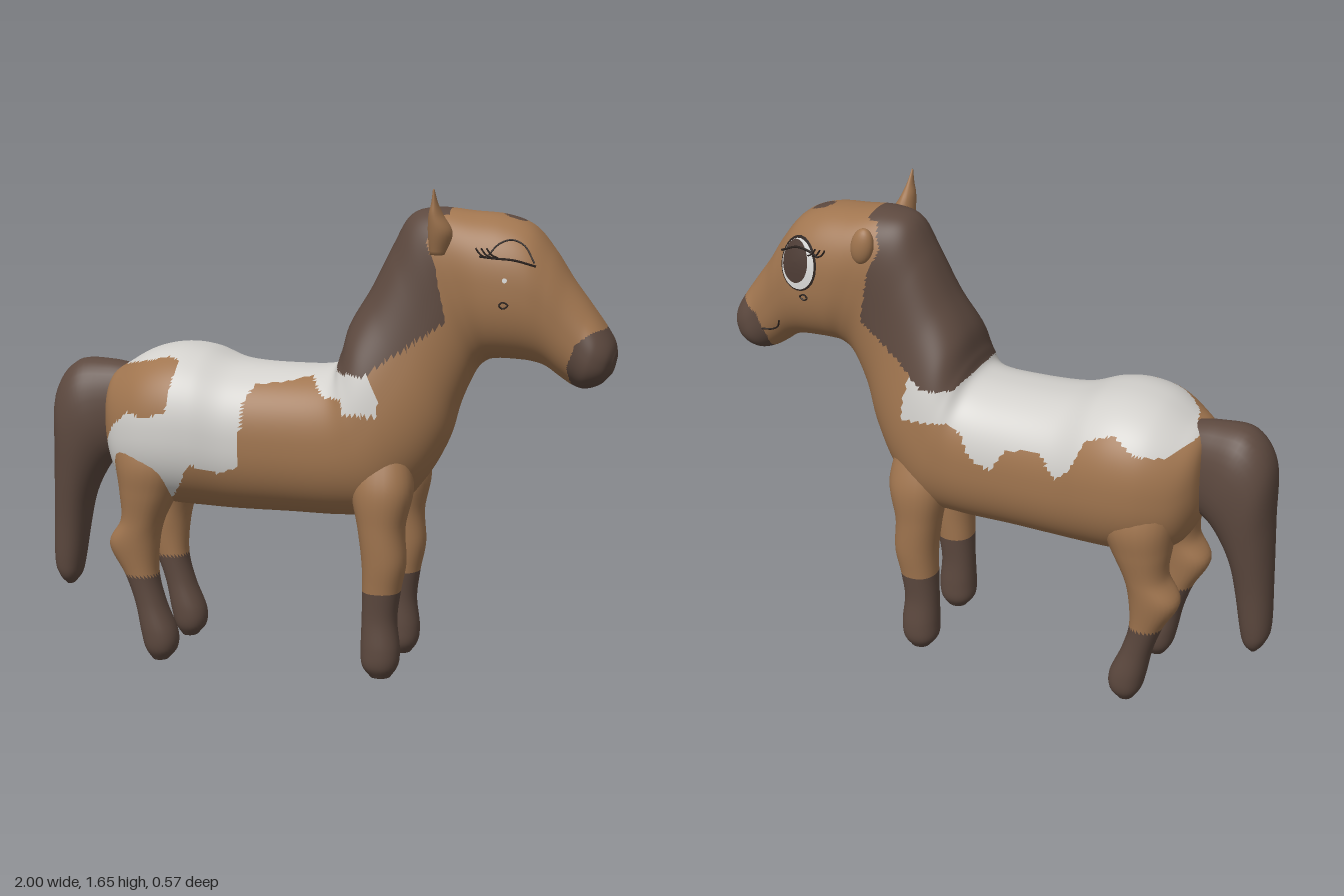
import * as THREE from 'three';

const mat = (name, color, side = THREE.FrontSide) => {
  const m = new THREE.MeshStandardMaterial({ color, side });
  m.name = name;
  return m;
};

// Even-odd test of a point against a closed outline
function inside(poly, x, y) {
  let hit = false;
  for (let i = 0, j = poly.length - 1; i < poly.length; j = i++) {
    const [xi, yi] = poly[i], [xj, yj] = poly[j];
    if ((yi > y) !== (yj > y) && x < ((xj - xi) * (y - yi)) / (yj - yi) + xi) hit = !hit;
  }
  return hit;
}

// Skin over rings [ax, ay, bx, by, halfWidth, zCentre]: a and b are opposite edge points.
// pick(x, y, z) gives the material slot of each triangle.
function loft(rings, steps, sides, power, pick) {
  const curve = f => new THREE.CatmullRomCurve3(rings.map(f), false, 'catmullrom', 0.5);
  const A = curve(r => new THREE.Vector3(r[0], r[1], r[5] || 0));
  const B = curve(r => new THREE.Vector3(r[2], r[3], r[4]));
  const pos = [], slots = [[], [], []];
  const bend = v => Math.sign(v) * Math.abs(v) ** power;
  for (let i = -1; i <= steps + 1; i++) {
    const t = Math.min(Math.max(i / steps, 0), 1), r = i < 0 || i > steps ? 0 : 1;
    const a = A.getPoint(t), b = B.getPoint(t);
    for (let j = 0; j < sides; j++) {
      const ang = (j / sides) * Math.PI * 2, c = bend(Math.cos(ang)) * r * 0.5;
      pos.push((a.x + b.x) / 2 + (a.x - b.x) * c, (a.y + b.y) / 2 + (a.y - b.y) * c,
        a.z + b.z * bend(Math.sin(ang)) * r);
    }
  }
  const mid = (k, p, q, s) => (pos[p * 3 + k] + pos[q * 3 + k] + pos[s * 3 + k]) / 3;
  const tri = (p, q, s) => slots[pick(mid(0, p, q, s), mid(1, p, q, s), mid(2, p, q, s))].push(p, q, s);
  for (let i = 0; i < steps + 2; i++) {
    for (let j = 0; j < sides; j++) {
      const k = (j + 1) % sides, p = i * sides, q = p + sides;
      tri(p + j, p + k, q + j);
      tri(p + k, q + k, q + j);
    }
  }
  const g = new THREE.BufferGeometry();
  g.setAttribute('position', new THREE.Float32BufferAttribute(pos, 3));
  g.setIndex(slots.flat());
  let start = 0;
  slots.forEach((s, n) => { g.addGroup(start, s.length, n); start += s.length; });
  g.computeVertexNormals();
  return g;
}

// Torso, neck and head as one sweep
const BODY = [
  [-0.76, 0.92, -0.76, 0.76, 0.06], [-0.745, 0.99, -0.74, 0.68, 0.15], [-0.69, 1.03, -0.69, 0.59, 0.22],
  [-0.6, 1.08, -0.6, 0.555, 0.27], [-0.5, 1.1, -0.5, 0.54, 0.287], [-0.4, 1.09, -0.4, 0.535, 0.28],
  [-0.28, 1.05, -0.28, 0.53, 0.255], [-0.1, 1.04, -0.1, 0.53, 0.243], [0.05, 1.05, 0.1, 0.53, 0.243],
  [0.085, 1.11, 0.25, 0.55, 0.245], [0.11, 1.2, 0.36, 0.66, 0.228], [0.18, 1.32, 0.44, 0.8, 0.185],
  [0.25, 1.46, 0.48, 0.93, 0.16], [0.31, 1.56, 0.53, 1.04, 0.155], [0.4, 1.585, 0.57, 1.08, 0.165],
  [0.52, 1.575, 0.61, 1.09, 0.18], [0.63, 1.565, 0.66, 1.09, 0.182], [0.72, 1.53, 0.72, 1.085, 0.172],
  [0.79, 1.45, 0.77, 1.07, 0.153], [0.85, 1.36, 0.82, 1.035, 0.135], [0.91, 1.28, 0.86, 1.01, 0.126],
  [0.96, 1.21, 0.9, 1.0, 0.128], [0.99, 1.16, 0.95, 1.015, 0.105], [1.0, 1.12, 0.985, 1.05, 0.06],
];
// Coat markings in side view
const MANE = [[0.05, 1.09], [0.1, 1.04], [0.2, 1.04], [0.28, 1.1], [0.4, 1.18], [0.455, 1.22], [0.42, 1.4],
  [0.385, 1.48], [0.41, 1.56], [0.45, 1.565], [0.44, 1.7], [0, 1.7]];
const MUZZLE = [[1.1, 1.21], [0.94, 1.2], [0.88, 1.16], [0.85, 1.08], [0.87, 0.95], [1.1, 0.9]];
const WHITE_A = [[-0.71, 1.02], [-0.62, 1.045], [-0.5, 1.07], [-0.46, 1.06], [-0.475, 0.9], [-0.56, 0.87],
  [-0.62, 0.89], [-0.69, 0.83], [-0.735, 0.76], [-0.7, 0.65], [-0.62, 0.6], [-0.48, 0.59], [-0.43, 0.66],
  [-0.4, 0.72], [-0.3, 0.69], [-0.23, 0.72], [-0.22, 0.93], [-0.19, 0.99], [-0.1, 1.0], [0, 1.02],
  [0.05, 0.96], [0.12, 0.96], [0.13, 0.91], [0.24, 0.91], [0.25, 0.95], [0.2, 1.06], [0.05, 1.3], [-0.74, 1.3]];
const WHITE_B = [[0.26, 1.06], [0.27, 0.92], [0.1, 0.94], [0.05, 0.91], [0, 0.83], [-0.07, 0.81], [-0.12, 0.89],
  [-0.24, 0.91], [-0.31, 0.84], [-0.36, 0.88], [-0.41, 0.99], [-0.5, 1.02], [-0.58, 0.97], [-0.67, 0.96],
  [-0.74, 1.0], [-0.74, 1.3], [0.05, 1.3]];

function coat(x, y, z) {
  if (inside(MANE, x, y) || inside(MUZZLE, x, y)) return 1;
  if (y > 1.45 && Math.hypot(x - 0.66, z) < 0.038) return 1; // forelock spot
  return inside(z > 0 ? WHITE_A : WHITE_B, x, y) ? 2 : 0;
}

const FRONT_LEG = [
  [0.33, 0.78, 0.15, 0.78, 0.07, 0.13], [0.35, 0.65, 0.14, 0.65, 0.1, 0.14], [0.325, 0.52, 0.165, 0.52, 0.088, 0.15],
  [0.33, 0.4, 0.18, 0.4, 0.08, 0.152], [0.312, 0.3, 0.182, 0.3, 0.07, 0.15], [0.3, 0.2, 0.18, 0.2, 0.062, 0.15],
  [0.31, 0.1, 0.178, 0.1, 0.066, 0.153], [0.305, 0.04, 0.182, 0.04, 0.062, 0.153], [0.28, 0.0, 0.21, 0.0, 0.038, 0.153]];
const HIND_LEG = [
  [-0.4, 0.82, -0.72, 0.82, 0.1, 0.14], [-0.43, 0.7, -0.7, 0.7, 0.125, 0.145], [-0.48, 0.6, -0.685, 0.6, 0.11, 0.15],
  [-0.53, 0.5, -0.68, 0.5, 0.085, 0.158], [-0.55, 0.41, -0.725, 0.41, 0.078, 0.158], [-0.555, 0.3, -0.67, 0.3, 0.065, 0.155],
  [-0.53, 0.2, -0.635, 0.2, 0.06, 0.155], [-0.49, 0.1, -0.615, 0.1, 0.066, 0.155], [-0.49, 0.04, -0.6, 0.04, 0.06, 0.155],
  [-0.52, 0.0, -0.575, 0.0, 0.035, 0.155]];
const TAIL = [
  [-0.66, 0.74, -0.66, 1.01, 0.08], [-0.74, 0.69, -0.78, 1.03, 0.1], [-0.78, 0.66, -0.9, 1.02, 0.122],
  [-0.82, 0.6, -0.975, 0.91, 0.122], [-0.855, 0.52, -0.985, 0.7, 0.105], [-0.875, 0.42, -0.995, 0.48, 0.082],
  [-0.895, 0.3, -1.0, 0.3, 0.068], [-0.91, 0.24, -0.985, 0.24, 0.055], [-0.935, 0.205, -0.96, 0.205, 0.025]];

export function createModel() {
  const root = new THREE.Group();
  const tan = mat('tan coat', 0xa0754f), dark = mat('dark brown', 0x5d493f), white = mat('white patches', 0xd2d0cc);
  const line = mat('line black', 0x2b221e, THREE.DoubleSide), iris = mat('eye brown', 0x4b3a33, THREE.DoubleSide);
  const sclera = mat('eye white', 0xd8d8d6, THREE.DoubleSide);
  const skin = [tan, dark, white];
  const add = (name, geo, m) => {
    const mesh = new THREE.Mesh(geo, m);
    mesh.name = name;
    root.add(mesh);
    return mesh;
  };

  const body = add('body', loft(BODY, 230, 120, 0.86, coat), skin);
  const sock = (x, y) => (y < 0.3 ? 1 : 0);
  for (const s of [1, -1]) {
    for (const [name, rings] of [['frontLeg', FRONT_LEG], ['hindLeg', HIND_LEG]]) {
      const sided = rings.map(r => [...r.slice(0, 5), r[5] * s]);
      add(name + (s > 0 ? 'Near' : 'Far'), loft(sided, 64, 28, 0.9, sock), skin);
    }
  }
  add('tail', loft(TAIL, 48, 32, 0.9, () => 1), skin);

  // Upright ear on one side, folded ear on the other
  const ear = [[0.455, 1.44, 0.4, 1.44, 0.03, 0.14], [0.475, 1.51, 0.395, 1.51, 0.05, 0.145],
    [0.447, 1.57, 0.4, 1.57, 0.042, 0.16], [0.433, 1.61, 0.412, 1.61, 0.022, 0.178], [0.425, 1.655, 0.42, 1.655, 0.003, 0.195]]
    .map(([ax, ay, bx, by, w, z]) => [bx, by, ax, ay, w, z]);
  add('uprightEar', loft(ear, 24, 20, 1, () => 0), skin);
  const fold = add('foldedEar', new THREE.SphereGeometry(1, 24, 16), tan);
  fold.scale.set(0.04, 0.065, 0.03);
  fold.position.set(0.44, 1.49, -0.145);
  fold.rotation.z = 0.2;

  // Face details follow the head surface
  body.updateMatrixWorld();
  const ray = new THREE.Raycaster();
  const onFace = (x, y, side, lift) => {
    ray.set(new THREE.Vector3(x, y, side), new THREE.Vector3(0, 0, -side));
    const hit = ray.intersectObject(body)[0];
    return new THREE.Vector3(x, y, (hit ? hit.point.z : 0.16 * side) + lift * side);
  };
  const disc = (name, m, cx, cy, rx, ry, side, lift) => {
    const g = new THREE.RingGeometry(0.001, 1, 28, 3), p = g.attributes.position;
    for (let i = 0; i < p.count; i++) {
      const v = onFace(cx + p.getX(i) * rx, cy + p.getY(i) * ry, side, lift);
      p.setXYZ(i, v.x, v.y, v.z);
    }
    g.computeVertexNormals();
    add(name, g, m);
  };
  const stroke = (name, pts, side, r = 0.003) => {
    const curve = new THREE.CatmullRomCurve3(pts.map(([x, y, out = 0]) => onFace(x, y, side, 0.003 + out)));
    add(name, new THREE.TubeGeometry(curve, 16, r, 6), line);
  };

  // Open eye
  disc('eyeRim', line, 0.67, 1.4, 0.074, 0.092, -1, 0.008);
  disc('eyeWhite', sclera, 0.67, 1.4, 0.067, 0.085, -1, 0.012);
  disc('eyeIris', iris, 0.678, 1.41, 0.052, 0.072, -1, 0.016);
  stroke('openEyeLid', [[0.59, 1.44, 0.012], [0.62, 1.455, 0.016], [0.67, 1.462, 0.02], [0.74, 1.435, 0.02]], -1, 0.004);

  // Closed winking eye
  stroke('closedLid', [[0.57, 1.44], [0.62, 1.435], [0.68, 1.43], [0.75, 1.41]], 1, 0.004);
  stroke('lidCrease', [[0.6, 1.445], [0.63, 1.48], [0.67, 1.493], [0.71, 1.475], [0.745, 1.42]], 1);

  for (const s of [1, -1]) {
    for (let i = 0; i < 3; i++) {
      const x = 0.58 + i * 0.018;
      stroke('eyelash', [[x + 0.015, 1.437, 0.006], [x - 0.005, 1.448, 0.014], [x - 0.02, 1.468, 0.024]], s);
    }
    stroke('cheekMark', [[0.637, 1.285], [0.65, 1.295], [0.667, 1.285], [0.65, 1.274], [0.638, 1.283]], s);
  }
  disc('cheekSpot', sclera, 0.655, 1.365, 0.008, 0.008, 1, 0.003);
  stroke('smile', [[0.78, 1.16], [0.795, 1.13], [0.82, 1.115], [0.86, 1.11]], -1);
  return root;
}
